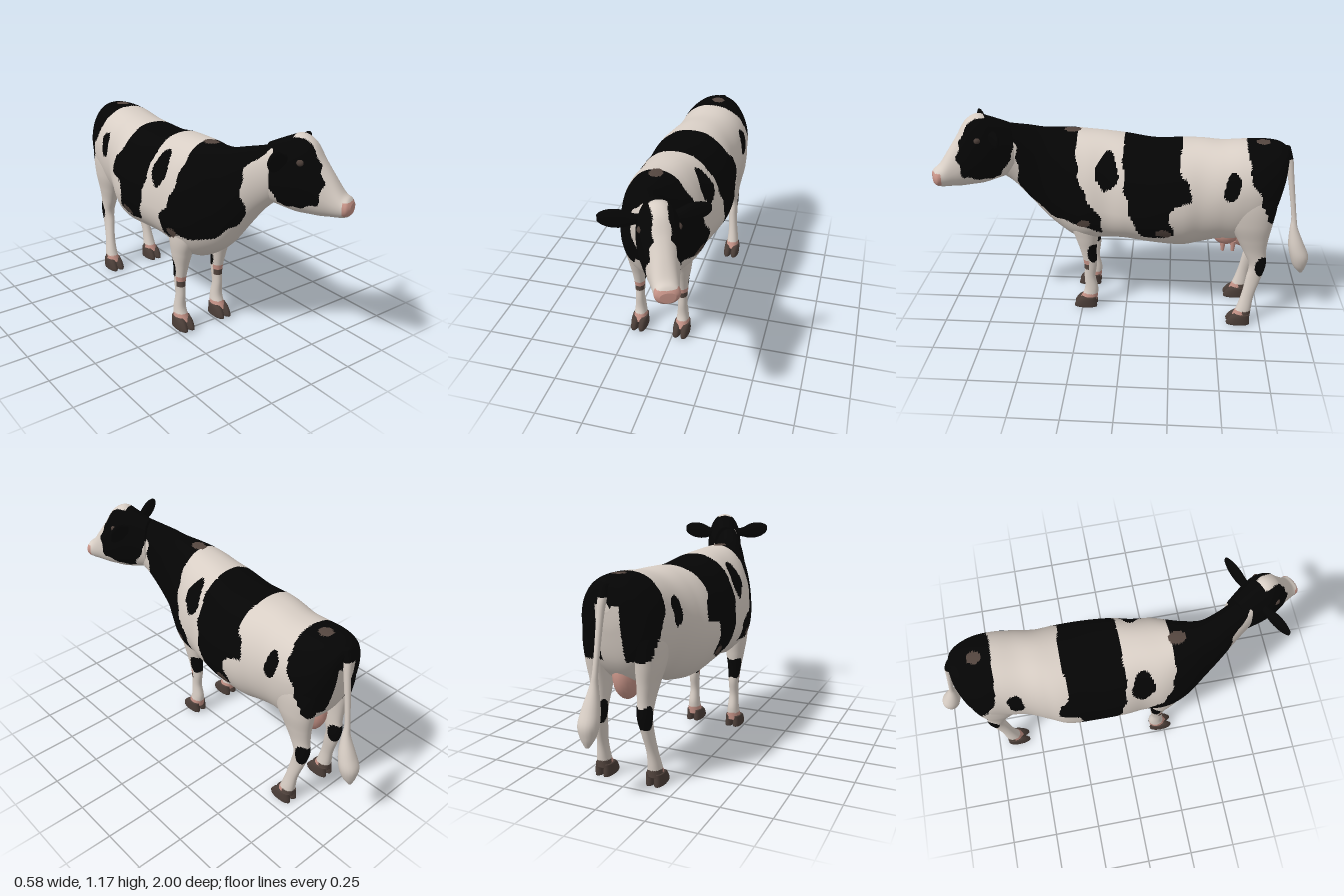
import * as THREE from 'three';

const mat = (name, color) => Object.assign(new THREE.MeshStandardMaterial({ color }), { name });
const [WHITE, BLACK, PINK, HOOF, BROWN] = [0, 1, 2, 3, 4];
const palette = [
  mat('white coat', 0xd8cec5), mat('black coat', 0x050505), mat('pink skin', 0xc79488),
  mat('hoof brown', 0x4b3e38), mat('brown coat', 0x54463f),
];

// Smooth interpolation through rows of section numbers, t in 0..1
function sampleRows(rows, t) {
  const f = t * (rows.length - 1), i = Math.min(Math.floor(f), rows.length - 2), u = f - i;
  const at = k => rows[Math.max(0, Math.min(rows.length - 1, k))];
  const [a, b, c, d] = [at(i - 1), at(i), at(i + 1), at(i + 2)];
  return b.map((v, k) => v + 0.5 * u * (c[k] - a[k] + u * (2 * a[k] - 5 * v + 4 * c[k] - d[k]
    + u * (3 * (v - c[k]) + d[k] - a[k]))));
}

// Closed tube of oval sections; row = [along, centre1, centre2, radius1, radius2 plus, radius2 minus].
// Axis z rows run forward, axis y rows run downward, axis x rows run outward.
// paint(x, y, z) picks a palette entry for each face.
function loft(name, axis, rows, paint, rings = 30, seg = 24) {
  const place = {
    z: (a, p, q) => [p, q, a], y: (a, p, q) => [p, a, q], x: (a, p, q) => [a, p, q],
  }[axis];
  const pos = [], faces = palette.map(() => []);
  for (let i = 0; i <= rings; i++) {
    const [a, c1, c2, r1, rp, rm] = sampleRows(rows, i / rings);
    for (let j = 0; j < seg; j++) {
      const th = j / seg * Math.PI * 2, c = Math.cos(th), s = Math.sin(th);
      pos.push(...place(a, c1 + r1 * Math.sign(c) * Math.abs(c) ** 0.9, c2 + (s > 0 ? rp : rm) * s));
    }
  }
  for (const r of [rows[0], rows[rows.length - 1]]) pos.push(...place(r[0], r[1], r[2]));
  const add = (...t) => {
    const m = [0, 1, 2].map(k => t.reduce((sum, v) => sum + pos[v * 3 + k], 0) / 3);
    faces[typeof paint === 'number' ? paint : paint(...m)].push(...t);
  };
  const tip = (rings + 1) * seg, last = rings * seg;
  for (let j = 0; j < seg; j++) {
    const k = (j + 1) % seg;
    add(tip, k, j);
    add(tip + 1, last + j, last + k);
    for (let i = 0; i < rings; i++) {
      const p = i * seg, q = p + seg;
      add(p + j, p + k, q + j);
      add(p + k, q + k, q + j);
    }
  }
  const g = new THREE.BufferGeometry();
  g.setAttribute('position', new THREE.Float32BufferAttribute(pos, 3));
  g.setIndex(faces.flat());
  let start = 0;
  const used = [];
  faces.forEach((f, m) => {
    if (!f.length) return;
    g.addGroup(start, f.length, used.length);
    used.push(palette[m]);
    start += f.length;
  });
  g.computeVertexNormals();
  const mesh = new THREE.Mesh(g, used);
  mesh.name = name;
  return mesh;
}

function blob(name, m, r, p) {
  const mesh = new THREE.Mesh(new THREE.SphereGeometry(1, 20, 14), palette[m]);
  mesh.scale.set(...r);
  mesh.position.set(...p);
  mesh.name = name;
  return mesh;
}

function inside(poly, u, v) {
  let hit = false;
  poly.forEach(([a, b], i) => {
    const [c, d] = poly[(i + poly.length - 1) % poly.length];
    if ((b > v) !== (d > v) && u < (c - a) * (v - b) / (d - b) + a) hit = !hit;
  });
  return hit;
}
const oval = (u, v, cu, cv, ru, rv) => ((u - cu) / ru) ** 2 + ((v - cv) / rv) ** 2 < 1;

// Coat patches as outlines in (z, y), the same on both flanks
const patches = [
  [[.75, 1.2], [.62, 1.03], [.57, .98], [.57, .74], [.47, .62], [.38, .57], [.27, .57], [.13, .53], [.12, .63], [.2, .72], [.25, .85], [.27, 1.1]],
  [[.02, 1.1], [.0, .8], [-.05, .6], [-.09, .54], [-.2, .53], [-.26, .56], [-.23, .7], [-.26, .74], [-.34, .75], [-.34, .84], [-.28, .88], [-.3, 1.1]],
  [[-.6, 1.1], [-.64, .96], [-.63, .92], [-.7, .78], [-.74, .66], [-.79, .62], [-.9, .62], [-.9, 1.1]],
];
const facePatch = [[.2, 1.13], [.25, 1.05], [.275, .96], [.25, .86], [.15, .825], [.06, .83], [.01, .92], [-.03, 1], [-.05, 1.12], [.08, 1.18], [.14, 1.18]];

function coat(x, y, z) {
  const u = z + .006 * Math.sin(y * 45 + z * 23), v = y + .006 * Math.sin(z * 50 + x * 9);
  if (y > .97 && (oval(x, u, .02, -.71, .035, .035) || oval(x, u, -.067, .29, .035, .04))) return BROWN;
  if (oval(u, v, -.2, .565, .04, .025) || oval(u, v, .22, .58, .04, .025)) return BROWN;
  if (z < -.74 && y < .9 && Math.abs(x - .01) < .06) return WHITE;
  if (z > .36 && y < .85 && Math.abs(x + .045) < .028) return WHITE;
  if (oval(u, v, .095, .88, .058, .092) || oval(u, v, -.55, .84, .042, .07)) return BLACK;
  return patches.some(p => inside(p, u, v)) ? BLACK : WHITE;
}

function faceCoat(x, y, z) {
  const u = z + .005 * Math.sin(y * 70), v = y + .005 * Math.sin(z * 80);
  if (z > .362 && y > .82 && y < .885) return PINK;
  if (z > .11 && Math.abs(x) < .038 + .005 * Math.sin(y * 60) && y > .88) return WHITE;
  return inside(facePatch, u, v) ? BLACK : WHITE;
}

function frontLegCoat(x, y, z) {
  if (y < .092) return PINK;
  if (z > .205 && y > .25 && y < .31) return y < .285 ? BROWN : PINK;
  return oval(z, y, .18, .36, .033, .06) ? BLACK : coat(x, y, z);
}
function hindLegCoat(x, y, z) {
  if (y < .085) return z > -.65 ? PINK : BROWN;
  return oval(z, y, -.735, .36, .035, .06) ? BLACK : coat(x, y, z);
}

// Two-clawed hoof
function hoof(name, x, y, z) {
  const g = new THREE.Group();
  g.name = name;
  for (const s of [-1, 1]) {
    const c = x + s * .022;
    g.add(loft('claw', 'y', [[y + .063, c, z - .015, .021, .04, .042], [y + .045, c, z - .005, .024, .055, .052],
      [y + .015, c, z, .025, .07, .06], [y, c, z, .024, .07, .06]], HOOF, 8, 14));
  }
  return g;
}

export function createModel() {
  const cow = new THREE.Group();
  cow.name = 'cow';

  // Torso and neck, rump to head
  cow.add(loft('body', 'z', [
    [-.84, .02, .93, .04, .05, .06], [-.825, .015, .9, .1, .1, .13], [-.78, .01, .82, .165, .2, .2],
    [-.7, .01, .8, .2, .225, .28], [-.6, .01, .78, .21, .24, .3], [-.5, 0, .76, .215, .25, .29],
    [-.4, -.02, .72, .23, .29, .28], [-.3, -.03, .69, .255, .315, .27], [-.15, -.03, .67, .26, .33, .235],
    [0, -.04, .67, .25, .35, .22], [.1, -.05, .67, .23, .36, .23], [.2, -.06, .67, .225, .365, .245],
    [.28, -.068, .67, .2, .37, .245], [.36, -.07, .7, .165, .34, .23], [.44, -.06, .76, .125, .285, .22],
    [.52, -.035, .84, .105, .225, .19], [.6, 0, .92, .09, .165, .16], [.68, .04, .97, .08, .14, .13],
  ], coat, 200, 120));

  // Head, turned towards its left
  const head = new THREE.Group();
  head.name = 'head';
  head.position.set(.03, 0, .63);
  head.rotation.y = .428;
  head.add(loft('face', 'z', [
    [-.02, 0, .95, .075, .15, .13], [.08, 0, .98, .095, .165, .18], [.14, 0, .98, .1, .185, .19],
    [.2, 0, .95, .092, .185, .16], [.25, 0, .91, .078, .15, .12], [.3, 0, .88, .065, .11, .085],
    [.35, 0, .86, .058, .06, .06], [.38, 0, .855, .055, .042, .045], [.395, 0, .855, .035, .02, .03],
  ], faceCoat, 100, 84));
  for (const s of [-1, 1]) {
    const ear = loft(s > 0 ? 'leftEar' : 'rightEar', 'x', [
      [.06, 1.06, 0, .022, .015, .015], [.1, 1.06, 0, .028, .02, .02], [.15, 1.068, 0, .045, .02, .02],
      [.2, 1.075, 0, .044, .016, .016], [.235, 1.08, 0, .03, .01, .01], [.25, 1.083, 0, .015, .006, .006],
    ], BLACK, 16, 16);
    ear.position.set(-.01, 0, .09);
    if (s < 0) ear.rotation.y = Math.PI;
    head.add(ear, blob('eye', HOOF, [.014, .016, .018], [s * .084, 1.05, .165]),
      blob('nostril', BROWN, [.009, .007, .006], [s * .032, .87, .383]));
  }
  cow.add(head);

  // Legs and hooves
  for (const s of [-1, 1]) {
    const side = s > 0 ? 'left' : 'right';
    const fx = -.0775 + s * .1225, bx = o => .0125 + s * o;
    cow.add(loft(side + 'FrontLeg', 'y', [
      [.72, fx, .22, .055, .09, .09], [.55, fx, .22, .06, .09, .08], [.45, fx, .215, .05, .065, .06],
      [.37, fx, .21, .037, .045, .045], [.28, fx, .2, .028, .036, .036], [.2, fx, .205, .025, .031, .031],
      [.12, fx, .2, .031, .036, .04], [.05, fx, .212, .04, .052, .046],
    ], frontLegCoat, 90, 36));
    cow.add(hoof(side + 'FrontHoof', fx, .01, .225));
    cow.add(loft(side + 'HindLeg', 'y', [
      [.9, bx(.11), -.66, .065, .12, .1], [.75, bx(.125), -.655, .075, .15, .135],
      [.62, bx(.13), -.665, .065, .12, .11], [.52, bx(.125), -.68, .05, .085, .08],
      [.44, bx(.12), -.695, .04, .06, .06], [.36, bx(.12), -.715, .035, .045, .045],
      [.28, bx(.125), -.7, .028, .04, .04], [.18, bx(.135), -.675, .026, .033, .035],
      [.1, bx(.14), -.66, .033, .04, .04], [.045, bx(.14), -.65, .04, .052, .046],
    ], hindLegCoat, 100, 36));
    cow.add(hoof(side + 'HindHoof', bx(.14), 0, -.635));
  }

  // Udder, rising between the hind legs, with four teats, and the navel fold
  cow.add(blob('udder', PINK, [.08, .085, .085], [.015, .51, -.545]));
  cow.add(blob('rearUdder', PINK, [.068, .13, .1], [.015, .54, -.645]));
  for (const dx of [-.035, .035]) for (const z of [-.53, -.585]) {
    const teat = new THREE.Mesh(new THREE.CylinderGeometry(.017, .009, .06, 12), palette[PINK]);
    teat.position.set(.015 + dx, .425, z);
    teat.name = 'teat';
    cow.add(teat);
  }
  cow.add(blob('navel', WHITE, [.04, .035, .07], [-.03, .445, -.3]));

  // Tail with hair tuft
  cow.add(loft('tail', 'y', [
    [1, .02, -.82, .025], [.93, .025, -.845, .021], [.85, .03, -.86, .017], [.7, .035, -.885, .014],
    [.6, .04, -.9, .014], [.54, .045, -.905, .022], [.45, .05, -.925, .042], [.38, .052, -.947, .05],
    [.32, .052, -.955, .036], [.275, .052, -.965, .01],
  ].map(r => [...r, r[3], r[3]]), (x, y) => (y > .94 ? BLACK : WHITE), 50, 18));

  return cow;
}
